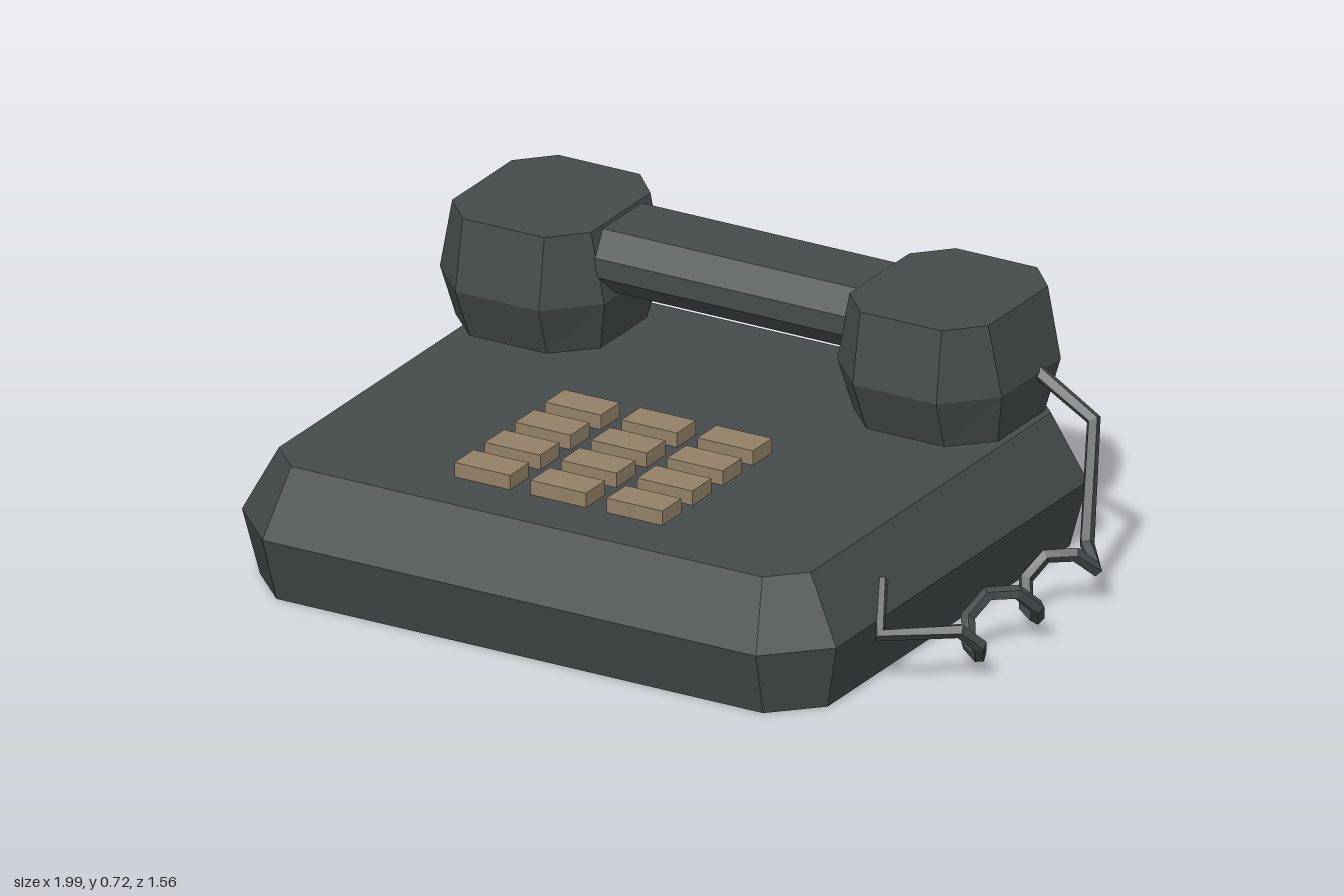
import * as THREE from 'three';

const dark = new THREE.MeshStandardMaterial({ color: 0x454b4b, flatShading: true });
dark.name = 'charcoal plastic';
const tan = new THREE.MeshStandardMaterial({ color: 0x938066, flatShading: true });
tan.name = 'tan keys';

// One level of a solid: a rectangle with its corners cut off, at height y
function octagon(y, x0, x1, z0, z1, cx, cz = cx) {
  return [
    [x0 + cx, z1], [x1 - cx, z1], [x1, z1 - cz], [x1, z0 + cz],
    [x1 - cx, z0], [x0 + cx, z0], [x0, z0 + cz], [x0, z1 - cz],
  ].map(([x, z]) => new THREE.Vector3(x, y, z));
}

// Faceted solid joining the levels from bottom to top, closed at both ends
function loft(rings) {
  const tri = [];
  const n = rings[0].length;
  for (let r = 0; r < rings.length - 1; r++) {
    const a = rings[r], b = rings[r + 1];
    for (let i = 0; i < n; i++) {
      const j = (i + 1) % n;
      tri.push(a[i], a[j], b[j], a[i], b[j], b[i]);
    }
  }
  const bottom = rings[0], top = rings[rings.length - 1];
  for (let i = 1; i < n - 1; i++) {
    tri.push(bottom[0], bottom[i + 1], bottom[i], top[0], top[i], top[i + 1]);
  }
  const geometry = new THREE.BufferGeometry().setFromPoints(tri);
  geometry.computeVertexNormals();
  return geometry;
}

// Straight-sided path with mitred bends, one tube section per point
class Polyline extends THREE.Curve {
  constructor(points) {
    super();
    this.points = points;
  }
  getPointAt(u, target = new THREE.Vector3()) {
    return target.copy(this.points[Math.round(u * (this.points.length - 1))]);
  }
  getTangentAt(u, target = new THREE.Vector3()) {
    const p = this.points, last = p.length - 1, i = Math.round(u * last);
    target.set(0, 0, 0);
    if (i > 0) target.add(p[i].clone().sub(p[i - 1]).normalize());
    if (i < last) target.add(p[i + 1].clone().sub(p[i]).normalize());
    return target.normalize();
  }
}

export function createModel() {
  const group = new THREE.Group();
  group.name = 'telephone';
  const add = (name, geometry, material, parent = group) => {
    const mesh = new THREE.Mesh(geometry, material);
    mesh.name = name;
    parent.add(mesh);
    return mesh;
  };

  // Base, widest at mid height
  add('base', loft([
    octagon(0, -0.96, 0.725, -0.725, 0.725, 0.12),
    octagon(0.18, -1, 0.765, -0.778, 0.778, 0.15),
    octagon(0.36, -0.907, 0.672, -0.69, 0.69, 0.09),
  ]), dark);

  // Handset: two faceted ends and a grip
  const handset = new THREE.Group();
  handset.name = 'handset';
  group.add(handset);
  for (const [name, side, cx] of [['earpiece', -1, -0.708], ['mouthpiece', 1, 0.472]]) {
    const end = add(name, loft([
      octagon(0.39, -0.215, 0.215, -0.643, -0.21, 0.1),
      octagon(0.53, -0.244, 0.244, -0.7, -0.155, 0.12, 0.125),
      octagon(0.722, -0.206, 0.206, -0.665, -0.187, 0.085, 0.09),
    ]), dark, handset);
    end.position.x = cx;
  }
  const grip = loft([-0.56, 0.33].map((y) => octagon(y, -0.712, -0.543, -0.585, -0.275, 0.058)));
  add('grip', grip.rotateZ(-Math.PI / 2), dark, handset);

  // Keypad, three columns by four rows
  const keypad = new THREE.Group();
  keypad.name = 'keypad';
  group.add(keypad);
  const keyShape = new THREE.BoxGeometry(0.165, 0.06, 0.095);
  for (let row = 0; row < 4; row++) {
    for (let col = 0; col < 3; col++) {
      add('key', keyShape, tan, keypad)
        .position.set(-0.342 + col * 0.226, 0.37, 0.034 + row * 0.151);
    }
  }

  // Cord: leaves the mouthpiece, coils two turns and enters the base
  const path = [
    new THREE.Vector3(0.69, 0.535, -0.48),
    new THREE.Vector3(0.865, 0.425, -0.488),
    new THREE.Vector3(0.915, 0.135, -0.37),
  ];
  for (let i = 0; i <= 13; i++) {
    const a = (i * Math.PI) / 3;
    path.push(new THREE.Vector3(
      0.915 + 0.06 * Math.cos(a), 0.1 + 0.06 * Math.sin(a), -0.31 + i * 0.048));
  }
  path.push(new THREE.Vector3(0.78, 0.147, 0.435), new THREE.Vector3(0.72, 0.25, 0.33));
  add('cord', new THREE.TubeGeometry(new Polyline(path), path.length - 1, 0.02, 5), dark);

  return group;
}
